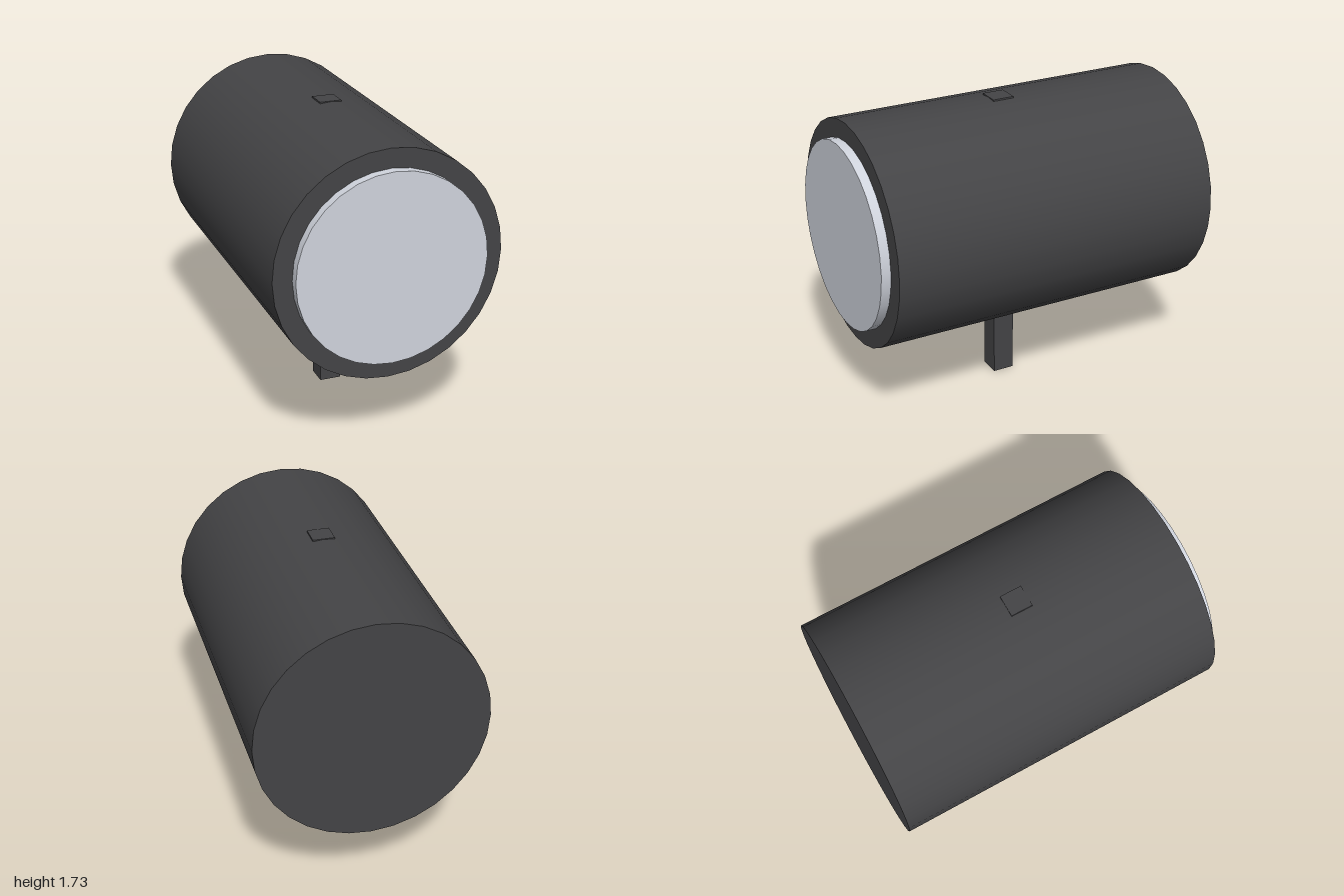
import * as THREE from 'three';

const AXIS_Y = 1.082;

// Closed cylinder lying along z between two depths
function drum(name, radius, zBack, zFront, material) {
  const geometry = new THREE.CylinderGeometry(radius, radius, zFront - zBack, 32);
  geometry.rotateX(Math.PI / 2);
  const mesh = new THREE.Mesh(geometry, material);
  mesh.name = name;
  mesh.position.set(0, AXIS_Y, (zBack + zFront) / 2);
  return mesh;
}

export function createModel() {
  const dark = new THREE.MeshStandardMaterial({ color: 0x444446 });
  const pale = new THREE.MeshStandardMaterial({ color: 0xd0d4dd });
  const group = new THREE.Group();
  group.name = 'spotlight';

  // Housing and the lens standing slightly proud of its front
  group.add(drum('housing', 0.646, -1, 0.946, dark));
  group.add(drum('lens', 0.538, 0.9, 1, pale));

  // Square post running up through the housing, its tip just showing on top
  const postHeight = 1.731;
  const post = new THREE.Mesh(new THREE.BoxGeometry(0.126, postHeight, 0.126), dark);
  post.name = 'post';
  post.position.set(0, postHeight / 2, 0.028);
  group.add(post);

  return group;
}
